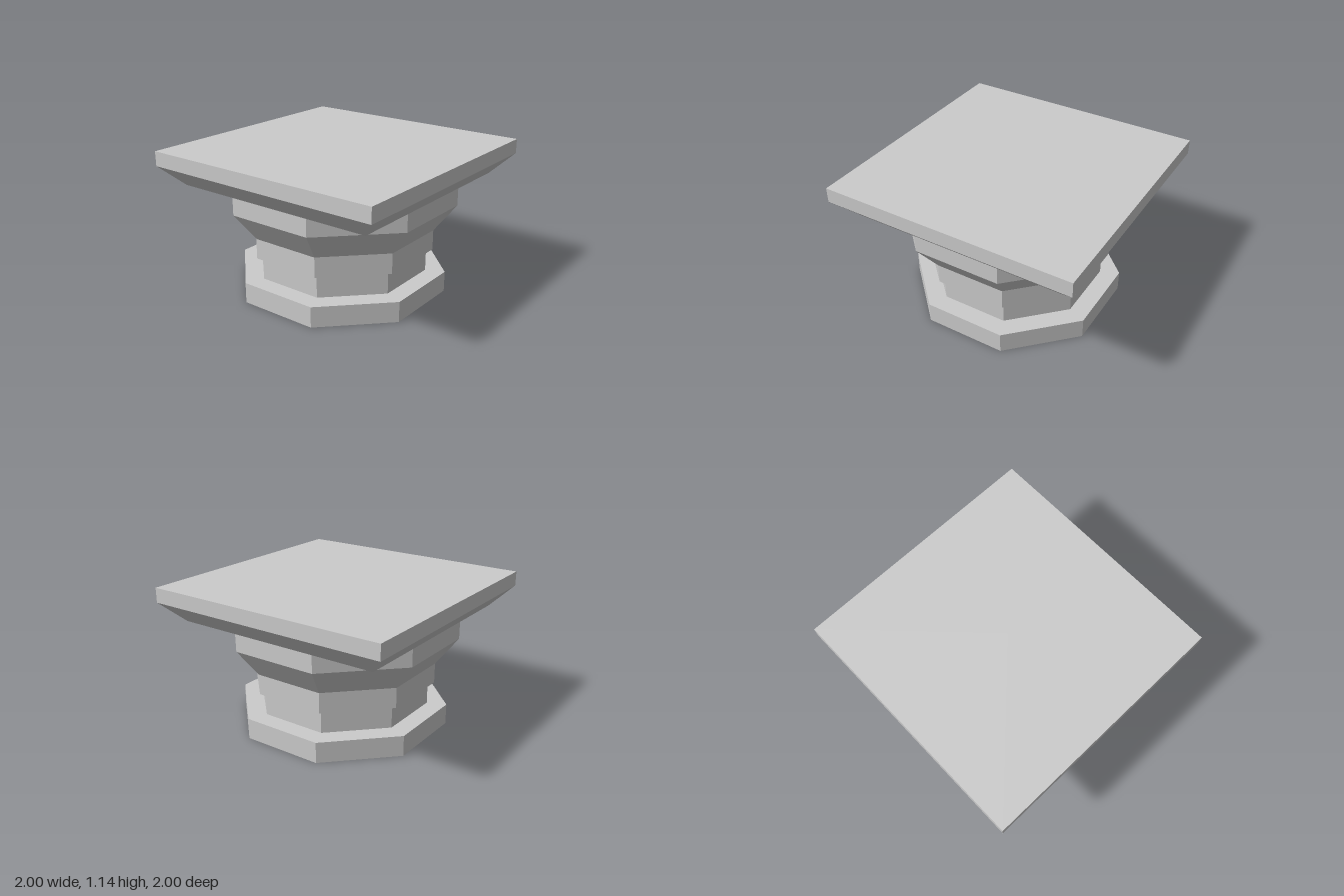
import * as THREE from 'three';

const material = new THREE.MeshStandardMaterial({ color: 0xcccccc, flatShading: true });

// Regular prism or frustum with flat sides facing the axes; widths are half-widths across flats
function prism(name, sides, bottomHalf, topHalf, y0, y1) {
  const k = 1 / Math.cos(Math.PI / sides);
  const geometry = new THREE.CylinderGeometry(
    topHalf * k, bottomHalf * k, y1 - y0, sides, 1, false, Math.PI / sides
  ).toNonIndexed();
  geometry.computeVertexNormals();
  const mesh = new THREE.Mesh(geometry, material);
  mesh.name = name;
  mesh.position.y = (y0 + y1) / 2;
  return mesh;
}

export function createModel() {
  const group = new THREE.Group();
  group.name = 'columnCapital';

  group.add(
    // Octagonal lower part
    prism('baseRing', 8, 0.785, 0.785, 0, 0.165),
    prism('neck', 8, 0.64, 0.64, 0.165, 0.348),
    prism('collar', 8, 0.687, 0.687, 0.348, 0.51),
    prism('bell', 8, 0.687, 0.848, 0.51, 0.732),
    prism('bellRim', 8, 0.848, 0.848, 0.732, 0.87),
    // Square top slab with a sloping underside
    prism('slabUnderside', 4, 0.848, 1, 0.87, 1.028),
    prism('topSlab', 4, 1, 1, 1.028, 1.145)
  );
  return group;
}
